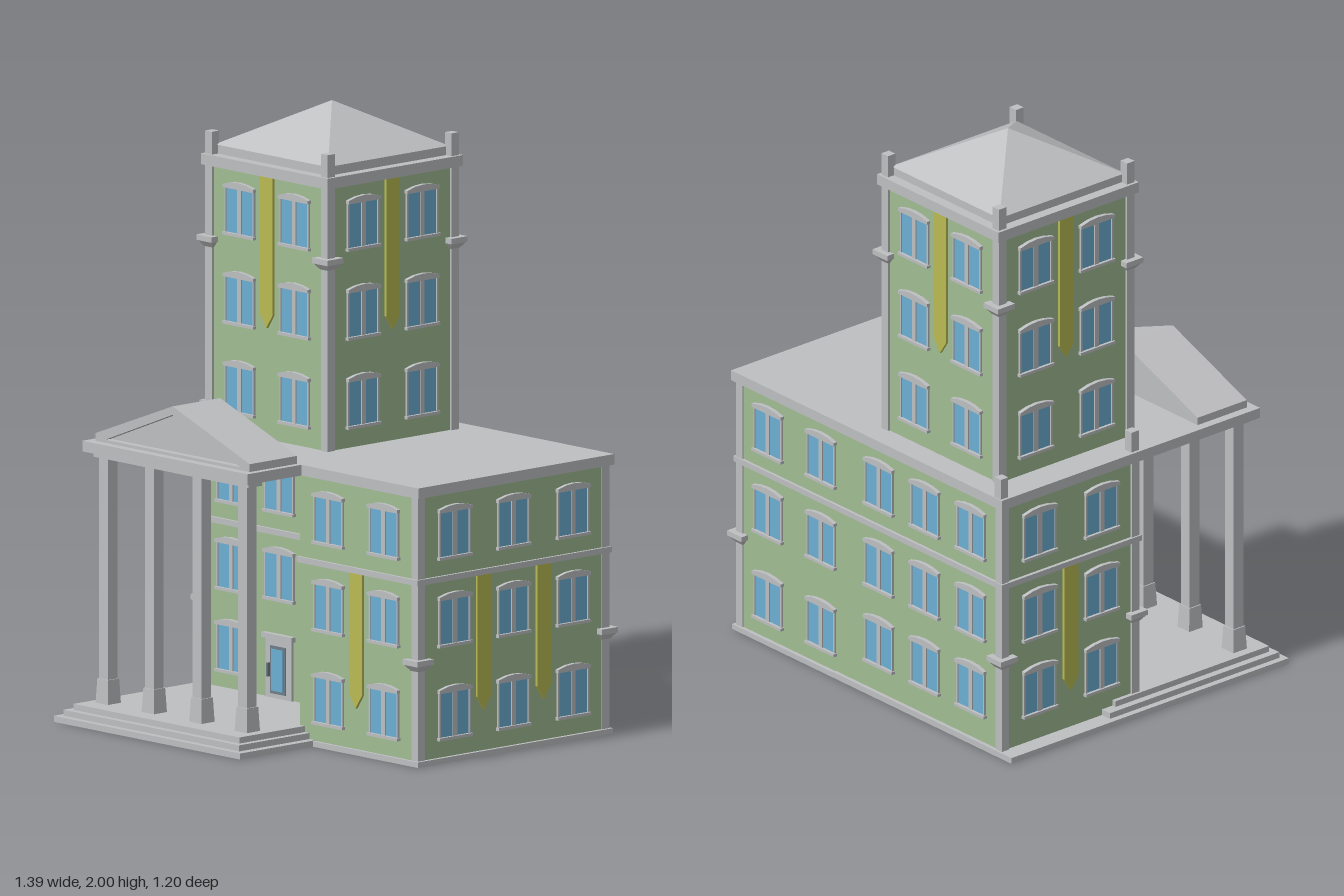
import * as THREE from 'three';

const mat = (name, color) => Object.assign(new THREE.MeshStandardMaterial({ color }), { name });

export function createModel() {
  const model = new THREE.Group();
  model.name = 'townHall';
  const green = mat('wall green', 0xa0bc92);
  const stone = mat('stone grey', 0xbebfc1);
  const blue = mat('glass blue', 0x6caed4);
  const yellow = mat('banner yellow', 0xb9ba52);
  const dark = mat('door grey', 0x6f7d88);

  const add = (parent, geometry, material, name) => {
    const mesh = new THREE.Mesh(geometry, material);
    mesh.name = name;
    parent.add(mesh);
    return mesh;
  };
  // Box given by its limits on each axis
  const block = (name, material, x0, x1, y0, y1, z0, z1, parent = model) => {
    const mesh = add(parent, new THREE.BoxGeometry(x1 - x0, y1 - y0, z1 - z0), material, name);
    mesh.position.set((x0 + x1) / 2, (y0 + y1) / 2, (z0 + z1) / 2);
    return mesh;
  };
  const outline = (points) => new THREE.Shape(points.map(([x, y]) => new THREE.Vector2(x, y)));
  const extrude = (shape, depth) => new THREE.ExtrudeGeometry(shape, { depth, bevelEnabled: false });
  // Four-sided frustum or pyramid given by half widths
  const taper = (top, bottom, height) =>
    new THREE.CylinderGeometry(top * Math.SQRT2, bottom * Math.SQRT2, height, 4, 1)
      .rotateY(Math.PI / 4).toNonIndexed();
  const flatTaper = (top, bottom, height) => {
    const g = taper(top, bottom, height);
    g.computeVertexNormals();
    return g;
  };

  // Wall side whose local +z points outward
  const facade = (name, x, z, turn) => {
    const side = new THREE.Group();
    side.name = name;
    side.position.set(x, 0, z);
    side.rotation.y = turn;
    model.add(side);
    return side;
  };

  const lintelShape = extrude(outline([[-0.072, 0], [0.072, 0], [0.072, 0.011], [0.036, 0.02],
    [0, 0.023], [-0.036, 0.02], [-0.072, 0.011]]), 0.014);

  // Double window standing on its sill at height y
  const addWindow = (side, x, y) => {
    const w = new THREE.Group();
    w.name = 'window';
    w.position.set(x, y, 0);
    side.add(w);
    block('glass', blue, -0.065, 0.065, 0.01, 0.158, 0, 0.004, w);
    block('mullion', stone, -0.009, 0.009, 0.01, 0.158, 0, 0.008, w);
    for (const s of [-1, 1]) {
      block('jamb', stone, s * 0.066 - 0.003, s * 0.066 + 0.003, 0.01, 0.158, 0, 0.008, w);
    }
    block('sill', stone, -0.073, 0.073, 0, 0.01, 0, 0.014, w);
    add(w, lintelShape, stone, 'lintel').position.y = 0.156;
  };
  const addWindows = (side, columns, rows) =>
    columns.forEach((x) => rows.forEach((y) => addWindow(side, x, y)));

  const addBanner = (side, x, y0, y1) => {
    const shape = outline([[-0.03, y1], [-0.03, y0 + 0.045], [0, y0], [0.03, y0 + 0.045], [0.03, y1]]);
    add(side, extrude(shape, 0.009), yellow, 'banner').position.x = x;
  };

  // Corner pilaster with a bracket part-way up and an optional pinnacle
  const addCorner = (x, z, y0, y1, bracketY, pinnacle) => {
    block('cornerPilaster', stone, x - 0.016, x + 0.016, y0, y1, z - 0.016, z + 0.016);
    block('bracketCap', stone, x - 0.036, x + 0.036, bracketY, bracketY + 0.018, z - 0.036, z + 0.036);
    add(model, flatTaper(0.033, 0.018, 0.02), stone, 'bracket').position.set(x, bracketY - 0.01, z);
    if (pinnacle) {
      const [px, pz, p0, p1] = pinnacle;
      block('pinnacle', stone, px - 0.016, px + 0.016, p0, p1, pz - 0.016, pz + 0.016);
    }
  };

  // Base and porch steps
  block('wingBase', stone, -0.1, 0.68, 0, 0.018, -0.585, 0.278);
  block('lowerStep', stone, -0.7, 0.183, 0, 0.02, -0.585, 0.6);
  block('middleStep', stone, -0.678, 0.155, 0.02, 0.04, -0.145, 0.578);
  block('porchFloor', stone, -0.653, 0.133, 0.04, 0.06, -0.1, 0.556);

  // Main walls: a deep right wing and a left part set back behind the porch
  block('rightWing', green, 0.11, 0.667, 0.015, 0.885, -0.572, 0.267);
  block('leftWing', green, -0.638, 0.11, 0.015, 0.885, -0.572, 0.006);

  // String course around both parts
  block('rightBand', stone, 0.105, 0.677, 0.597, 0.616, -0.582, 0.277);
  block('leftBand', stone, -0.65, 0.11, 0.597, 0.616, -0.582, 0.016);

  // Flat roof
  block('rightRoof', stone, 0.125, 0.682, 0.885, 0.92, -0.588, 0.278);
  block('leftRoof', stone, -0.656, 0.128, 0.885, 0.92, -0.588, 0.515);
  block('porchBeam', stone, -0.63, 0.105, 0.868, 0.885, 0.43, 0.49);

  // Corners
  addCorner(0.654, 0.252, 0, 0.885, 0.333);
  addCorner(0.654, -0.562, 0, 0.885, 0.333);
  addCorner(-0.628, -0.562, 0, 0.885, 0.333, [-0.63, -0.568, 0.92, 0.99]);
  addCorner(-0.628, -0.006, 0.02, 0.885, 0.333, [-0.63, -0.01, 0.92, 0.99]);

  // Porch columns
  for (const x of [-0.592, -0.374, -0.148, 0.067]) {
    block('column', stone, x - 0.021, x + 0.021, 0.13, 0.87, 0.439, 0.481);
    add(model, flatTaper(0.025, 0.029, 0.08), stone, 'columnBase').position.set(x, 0.1, 0.46);
  }

  // Pediment with a recessed triangle
  const gable = [[-0.365, 0], [0.365, 0], [0.365, 0.026], [0, 0.165], [-0.365, 0.026]];
  const frame = outline(gable);
  frame.holes.push(new THREE.Path([[-0.32, 0.01], [0, 0.137], [0.32, 0.01]]
    .map(([x, y]) => new THREE.Vector2(x, y))));
  add(model, extrude(outline(gable), 0.185), stone, 'pedimentBody').position.set(-0.26, 0.92, 0.275);
  add(model, extrude(frame, 0.025), stone, 'pedimentFrame').position.set(-0.26, 0.92, 0.46);

  // Tower
  const tx = -0.263, tz = -0.222;
  const square = (name, material, h, y0, y1) =>
    block(name, material, tx - h, tx + h, y0, y1, tz - h, tz + h);
  square('towerWalls', green, 0.282, 0.92, 1.786);
  square('towerCornice', stone, 0.3, 1.786, 1.822);
  square('towerRoofBase', stone, 0.264, 1.822, 1.852);
  add(model, flatTaper(0, 0.268, 0.148), stone, 'towerRoof').position.set(tx, 1.926, tz);
  for (const sx of [-1, 1]) {
    for (const sz of [-1, 1]) {
      const x = tx + sx * 0.274, z = tz + sz * 0.274;
      addCorner(x, z, 0.92, 1.786, 1.537, [x, z, 1.822, 1.897]);
    }
  }
  for (let i = 0; i < 4; i++) {
    const a = i * Math.PI / 2;
    const side = facade('towerSide', tx + Math.sin(a) * 0.282, tz + Math.cos(a) * 0.282, a);
    addWindows(side, [-0.13, 0.13], [0.982, 1.275, 1.568]);
    addBanner(side, 0, 1.287, 1.786);
  }

  // Wall sides with their windows and banners
  const rows = [0.074, 0.38, 0.668];
  const raised = [0.11, 0.38, 0.668];

  const wingFront = facade('wingFront', 0, 0.267, 0);
  addWindows(wingFront, [0.25, 0.512], rows);
  addBanner(wingFront, 0.382, 0.153, 0.6);

  const porchWall = facade('porchWall', 0, 0.006, 0);
  addWindows(porchWall, [-0.49, -0.036], raised);
  addWindows(porchWall, [-0.263], raised.slice(1));

  const rightSide = facade('leftHandWall', 0.667, 0, Math.PI / 2);
  addWindows(rightSide, [-0.108, 0.152, 0.415], rows);
  addBanner(rightSide, 0.02, 0.153, 0.6);
  addBanner(rightSide, 0.284, 0.153, 0.6);

  const leftSide = facade('rightHandWall', -0.638, 0, -Math.PI / 2);
  addWindows(leftSide, [-0.415, -0.15], raised);
  addBanner(leftSide, -0.283, 0.153, 0.6);

  const back = facade('backWall', 0, -0.572, Math.PI);
  addWindows(back, [-0.512, -0.25], rows);
  addWindows(back, [0.036, 0.263, 0.49], raised);

  // Front door
  const door = new THREE.Group();
  door.name = 'door';
  door.position.set(-0.263, 0.06, 0);
  porchWall.add(door);
  block('doorSurround', stone, -0.062, 0.062, 0, 0.2, 0, 0.008, door);
  block('doorHeader', stone, -0.072, 0.072, 0.195, 0.212, 0, 0.018, door);
  block('doorLeaf', dark, -0.036, 0.036, 0.015, 0.172, 0.008, 0.012, door);
  block('doorGlass', blue, -0.028, 0.028, 0.025, 0.162, 0.012, 0.016, door);
  block('doorHandle', dark, -0.044, -0.037, 0.07, 0.115, 0.008, 0.022, door);

  return model;
}
